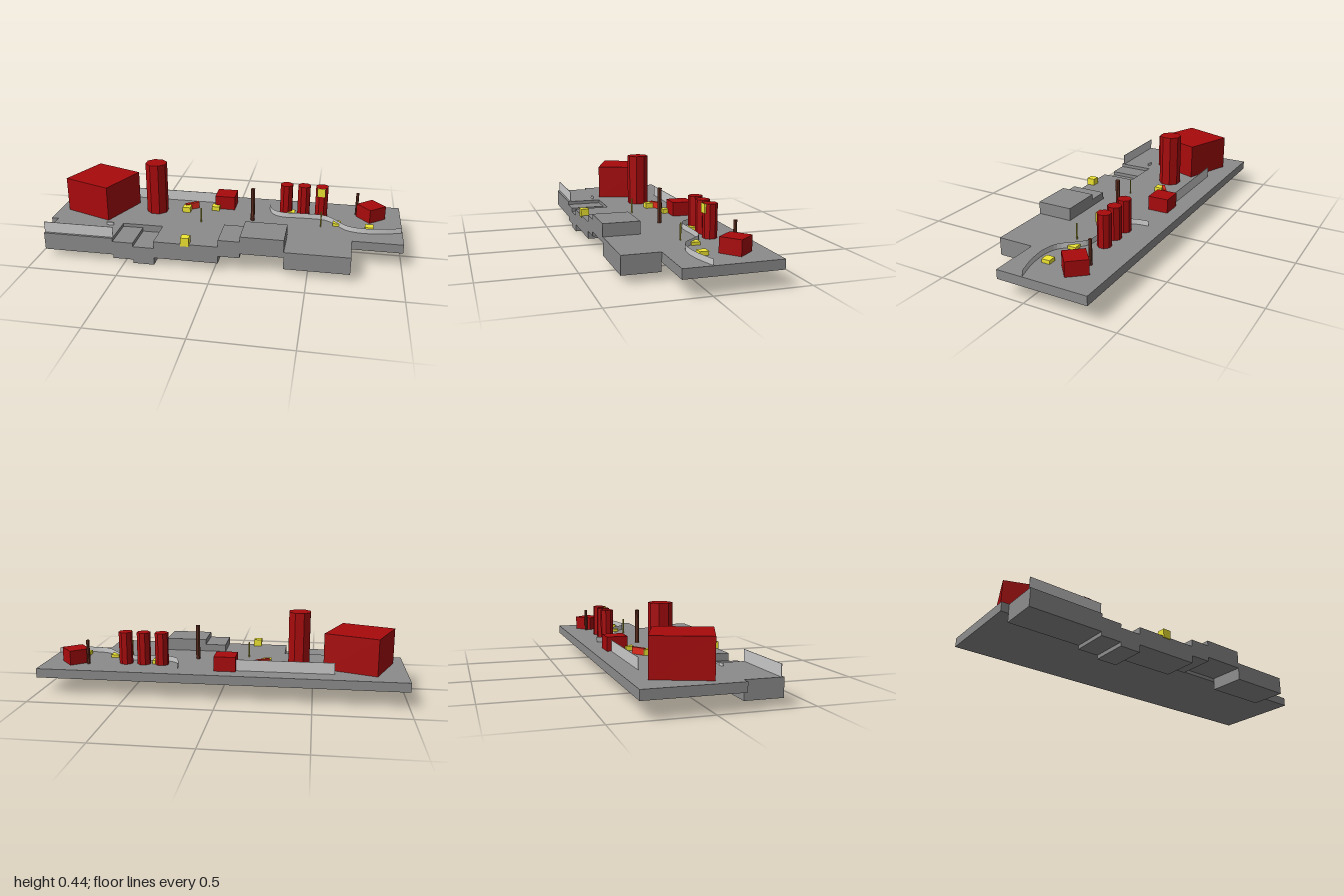
import * as THREE from 'three';

const mat = (color, side = THREE.FrontSide) =>
  new THREE.MeshStandardMaterial({ color, side, flatShading: true });
const GROUND = mat(0x8c8c8c);
const GREY = mat(0xcccccc);
const SHEET = mat(0xcccccc, THREE.DoubleSide);
const RED = mat(0xa80a0c);
const BRIGHT_RED = mat(0xe02a1c);
const YELLOW = mat(0xf0e633);
const BROWN = mat(0x6b3424);
const OLIVE = mat(0xb8ae30);
const FLOOR = 0.14;

export function createModel() {
  const model = new THREE.Group();

  const add = (name, geometry, material, x, y, z, turn = 0) => {
    const mesh = new THREE.Mesh(geometry, material);
    mesh.name = name;
    mesh.position.set(x, y, z);
    mesh.rotation.y = turn;
    model.add(mesh);
    return mesh;
  };
  // Box spanning y0..y1, centred on x, z
  const block = (name, material, x, z, w, d, y0, y1, turn = 0) =>
    add(name, new THREE.BoxGeometry(w, y1 - y0, d), material, x, (y0 + y1) / 2, z, turn);
  // Upright prism standing on the floor
  const pillar = (name, material, x, z, r, top, sides = 8) =>
    add(name, new THREE.CylinderGeometry(r, r, top - FLOOR, sides), material,
      x, (FLOOR + top) / 2, z, Math.PI / sides);

  // Main ground slab
  block('mainSlab', GROUND, 0, -0.103, 2, 0.5, 0.09, FLOOR);

  // Stepped terraces along the front: x start, x end, bottom, top
  [
    [-0.96, -0.565, 0.042, 0.14],
    [-0.565, -0.45, 0.021, 0.121],
    [-0.45, -0.333, 0, 0.1],
    [-0.333, 0.022, 0.042, 0.14],
    [0.022, 0.14, 0.085, 0.18],
    [0.14, 0.374, 0.11, 0.21],
    [0.374, 0.724, 0.042, 0.14],
  ].forEach(([x0, x1, y0, y1], i) =>
    block(`frontTerrace${i + 1}`, GROUND, (x0 + x1) / 2, 0.247, x1 - x0, 0.2, y0, y1));

  // Thin straight walls
  block('frontWall', GREY, -0.762, 0.332, 0.396, 0.003, FLOOR, 0.202);
  block('backWall', GREY, -0.35, -0.246, 0.53, 0.003, FLOOR, 0.202);

  // Low winding wall, swept as an open ribbon
  const path = new THREE.CatmullRomCurve3([
    [0.232, -0.258], [0.24, -0.195], [0.265, -0.135], [0.32, -0.104], [0.44, -0.107],
    [0.57, -0.1], [0.63, -0.05], [0.69, 0.015], [0.77, 0.038], [0.88, 0.03], [0.995, 0],
  ].map(([x, z]) => new THREE.Vector3(x, 0, z)));
  const steps = 40;
  const ribbon = new THREE.PlaneGeometry(1, 1, steps, 1);
  const pos = ribbon.attributes.position;
  for (let i = 0; i < pos.count; i++) {
    const p = path.getPoint((i % (steps + 1)) / steps);
    pos.setXYZ(i, p.x, i <= steps ? 0.17 : FLOOR, p.z);
  }
  ribbon.computeVertexNormals();
  add('windingWall', ribbon, SHEET, 0, 0, 0);

  // Red buildings
  block('largeBuilding', RED, -0.75, -0.072, 0.301, 0.301, FLOOR, 0.34, -0.365);
  block('middleBuilding', RED, -0.028, -0.213, 0.118, 0.118, FLOOR, 0.22);
  block('cornerBuilding', RED, 0.828, -0.182, 0.117, 0.117, FLOOR, 0.22, -0.87);
  block('redPlank', BRIGHT_RED, -0.222, -0.13, 0.082, 0.018, FLOOR, 0.178, 0.57);

  // Octagonal towers
  pillar('tallTower', RED, -0.42, -0.073, 0.063, 0.44);
  [0.337, 0.439, 0.542].forEach((x, i) =>
    pillar(`silo${i + 1}`, RED, x, -0.17, 0.038, 0.32));

  // Yellow markers: x, z, bottom, top
  [
    [-0.245, -0.09, 0.14, 0.171],
    [-0.08, -0.145, 0.14, 0.165],
    [-0.158, 0.33, 0.13, 0.179],
    [0.368, -0.151, 0.14, 0.16],
    [0.638, -0.05, 0.14, 0.156],
    [0.818, -0.021, 0.14, 0.16],
    [0.539, -0.154, 0.27, 0.319],
  ].forEach(([x, z, y0, y1], i) =>
    block(`marker${i + 1}`, YELLOW, x, z, 0.046, 0.046, y0, y1));

  // Posts
  pillar('tallPost', BROWN, 0.157, -0.029, 0.012, 0.335);
  pillar('shortPost', BROWN, 0.747, -0.215, 0.009, 0.275);
  pillar('thinPost1', OLIVE, -0.13, 0.048, 0.004, 0.226);
  pillar('thinPost2', OLIVE, 0.548, -0.01, 0.004, 0.23);

  // Small oval stone behind the front wall
  const stone = add('ovalStone', new THREE.CylinderGeometry(0.022, 0.022, 0.015, 12), GREY,
    -0.633, FLOOR + 0.0075, 0.175);
  stone.scale.z = 0.3;

  return model;
}
